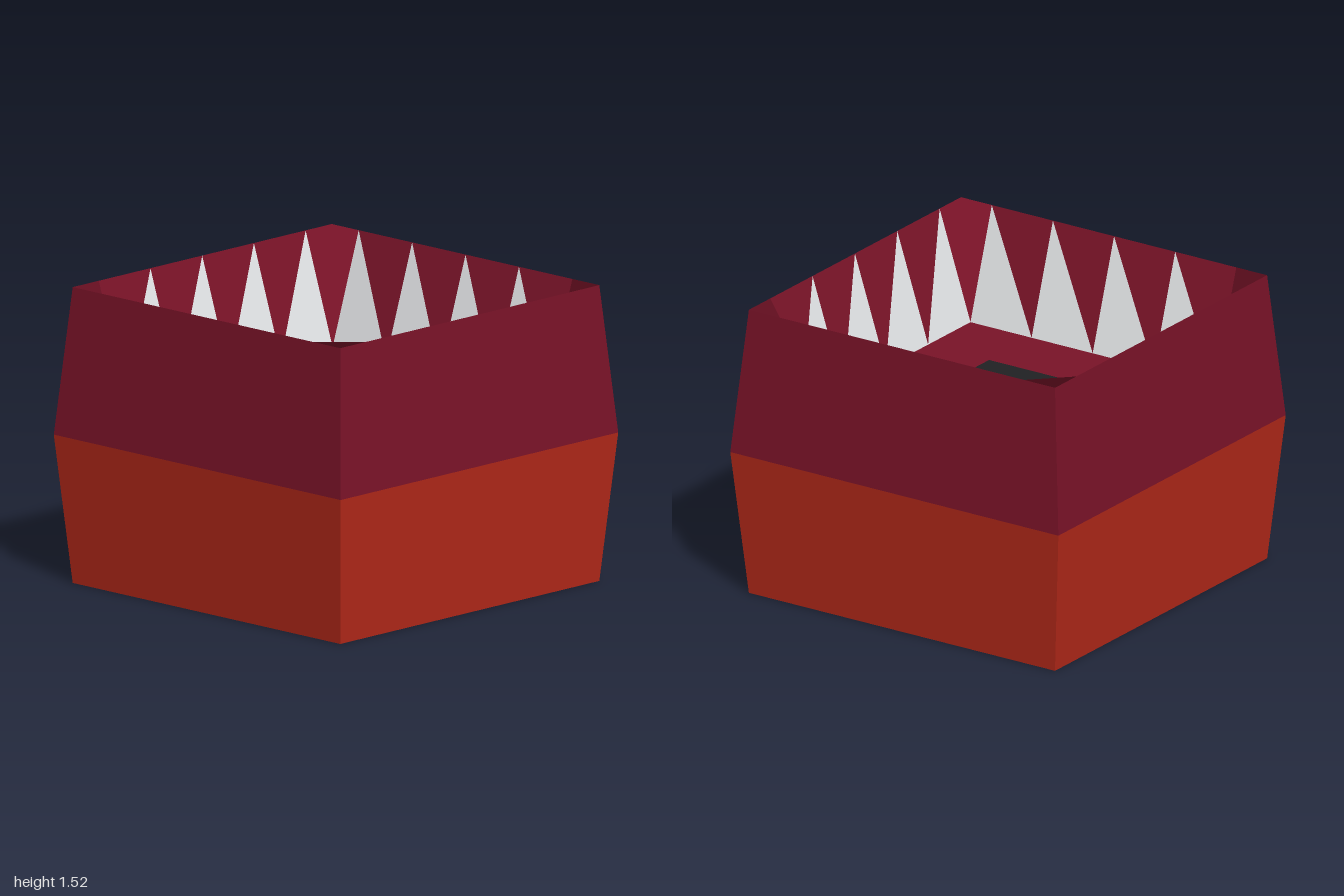
import * as THREE from 'three';

const RIM = 0.933, WAIST = 1, FLOOR = 0.745, PIT = 0.375;
const H = 1.525, MID = 0.765, FLOOR_Y = 0.955;

const mat = (color) => new THREE.MeshStandardMaterial({ color, flatShading: true });
const maroon = mat(0x7a1328), red = mat(0xb92a1a), white = mat(0xe2e4e6), black = mat(0x202224);
const smoothMaroon = new THREE.MeshStandardMaterial({ color: 0x7a1328 });

function add(group, name, geometry, material) {
  const mesh = new THREE.Mesh(geometry, material);
  mesh.name = name;
  group.add(mesh);
  return mesh;
}

// Open four-sided band between two square outlines
function band(topHalf, bottomHalf, y0, y1) {
  const g = new THREE.CylinderGeometry(topHalf * Math.SQRT2, bottomHalf * Math.SQRT2, y1 - y0, 4, 1, true);
  return g.rotateY(Math.PI / 4).translate(0, (y0 + y1) / 2, 0);
}

// Triangles inside the box, all wound to face upward
function upwardTriangles(tris) {
  const pts = [];
  for (const [a, b, c] of tris) {
    const n = b.clone().sub(a).cross(c.clone().sub(a));
    pts.push(...(n.y > 0 ? [a, b, c] : [a, c, b]));
  }
  const g = new THREE.BufferGeometry().setFromPoints(pts);
  g.computeVertexNormals();
  return g;
}

const square = (C, s) => new C([
  new THREE.Vector2(-s, -s), new THREE.Vector2(s, -s), new THREE.Vector2(s, s), new THREE.Vector2(-s, s),
]);

export function createModel() {
  const model = new THREE.Group();
  model.name = 'toothedBox';

  // Outer shell
  add(model, 'upperShell', band(RIM, WAIST, MID, H), maroon);
  add(model, 'lowerShell', band(WAIST, RIM, 0, MID), red);
  add(model, 'base', new THREE.PlaneGeometry(2 * RIM, 2 * RIM).rotateX(Math.PI / 2), red);

  // Inner floor with a dark square in the middle
  const ring = square(THREE.Shape, FLOOR);
  ring.holes.push(square(THREE.Path, PIT));
  add(model, 'innerFloor', new THREE.ShapeGeometry(ring).rotateX(-Math.PI / 2).translate(0, FLOOR_Y, 0), maroon);
  add(model, 'darkCentre',
    new THREE.PlaneGeometry(2 * PIT, 2 * PIT).rotateX(-Math.PI / 2).translate(0, FLOOR_Y, 0), black);

  // Sloping inner walls: four teeth and the gaps between them on each side
  const sides = {
    back: (u, y, d) => new THREE.Vector3(u, y, -d),
    front: (u, y, d) => new THREE.Vector3(-u, y, d),
    right: (u, y, d) => new THREE.Vector3(-d, y, u),
    left: (u, y, d) => new THREE.Vector3(d, y, -u),
  };
  const step = FLOOR / 2;
  for (const [side, at] of Object.entries(sides)) {
    const teeth = [], gaps = [];
    for (let i = 0; i < 4; i++) {
      const a = -FLOOR + i * step, b = a + step;
      const tip = at(a, H, RIM), end = at(b, FLOOR_Y, FLOOR);
      teeth.push([tip, at(a, FLOOR_Y, FLOOR), end]);
      gaps.push([tip, end, at(b, H, RIM)]);
    }
    add(model, side + 'Teeth', upwardTriangles(teeth), white);
    add(model, side + 'InnerWall', upwardTriangles(gaps), maroon);
  }

  // Corner pieces joining neighbouring inner walls
  for (const sx of [-1, 1]) for (const sz of [-1, 1]) {
    const p = (x, y, z) => new THREE.Vector3(sx * x, y, sz * z);
    const tipA = p(FLOOR, H, RIM), tipB = p(RIM, H, FLOOR);
    const g = upwardTriangles([[p(RIM, H, RIM), tipA, tipB], [p(FLOOR, FLOOR_Y, FLOOR), tipA, tipB]]);
    const n = new THREE.Vector3(-sx, 0.65, -sz).normalize();
    for (let i = 0; i < 6; i++) g.attributes.normal.setXYZ(i, n.x, n.y, n.z);
    add(model, 'innerCorner', g, smoothMaroon);
  }
  return model;
}
